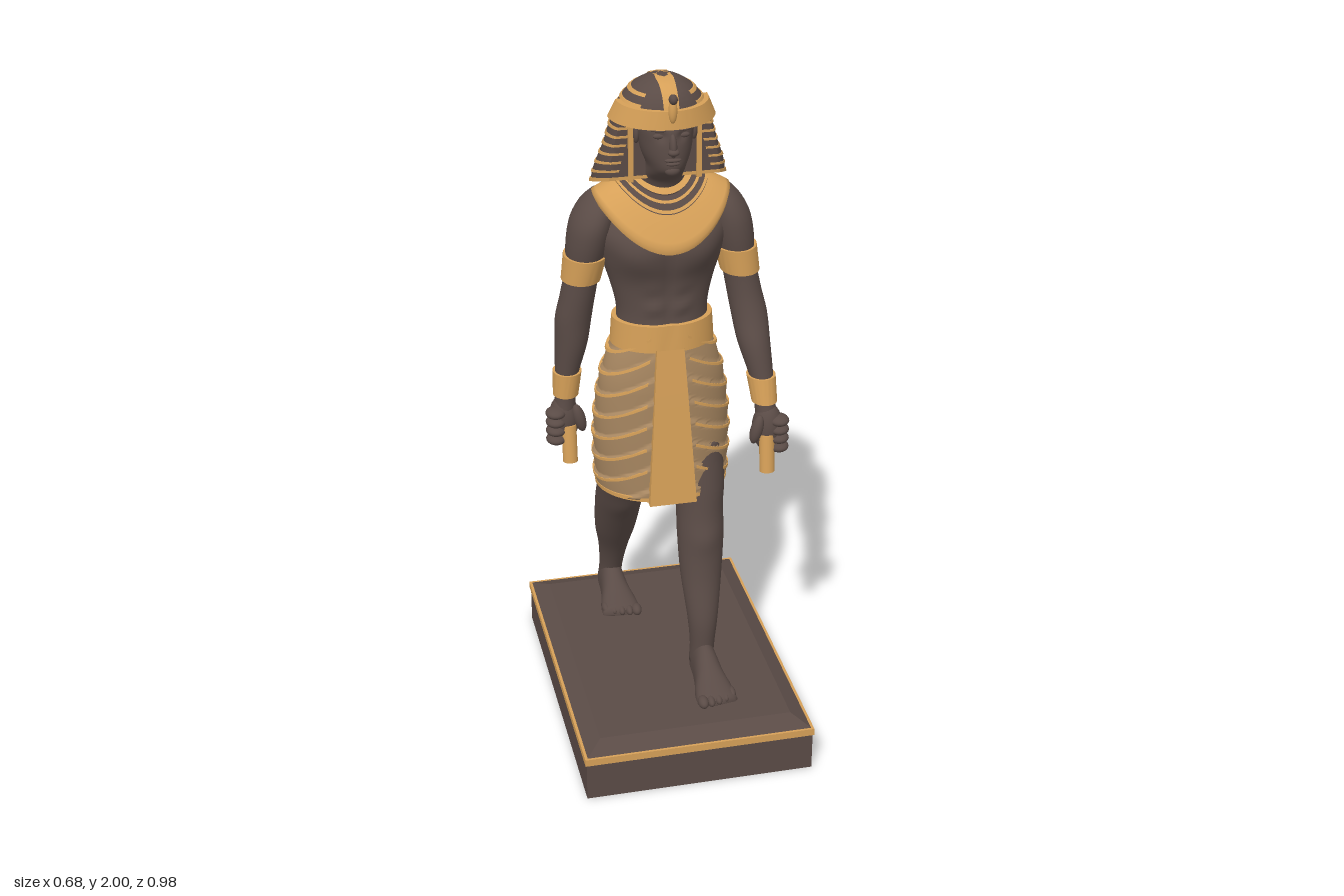
import * as THREE from 'three';
import { mergeVertices, toCreasedNormals } from 'three/addons/utils/BufferGeometryUtils.js';

const PI = Math.PI;
const paint = (name, color) => {
  const m = new THREE.MeshStandardMaterial({ color, side: THREE.DoubleSide });
  m.name = name;
  return m;
};
const stone = paint('dark stone', 0x5a4b46);
const gold = paint('gold', 0xd6a058);
const linen = paint('linen', 0xa98862);

const range = (a, b, n) => Array.from({ length: n + 1 }, (_, i) => a + (b - a) * i / n);
const bump = (x, w) => Math.exp(-(x * x) / (w * w));

// Smoothly interpolates rows of [position, ...values]
function ring(rows, y) {
  let i = 0;
  while (i < rows.length - 2 && y > rows[i + 1][0]) i++;
  const p = rows[i], q = rows[i + 1], o = rows[Math.max(0, i - 1)], r = rows[Math.min(rows.length - 1, i + 2)];
  const h = q[0] - p[0], t = Math.min(1, Math.max(0, (y - p[0]) / h));
  return p.map((pv, k) => {
    if (k === 0) return y;
    const m0 = (q[k] - o[k]) / (q[0] - o[0]) * h, m1 = (r[k] - pv) / (r[0] - p[0]) * h;
    const t2 = t * t, t3 = t2 * t;
    return (2 * t3 - 3 * t2 + 1) * pv + (t3 - 2 * t2 + t) * m0 + (3 * t2 - 2 * t3) * q[k] + (t3 - t2) * m1;
  });
}

// Grid surface over the lists us and vs
function patch(fn, us, vs, crease) {
  const pos = [], idx = [], n = us.length;
  for (const v of vs) for (const u of us) pos.push(...fn(u, v));
  for (let j = 0; j < vs.length - 1; j++) for (let i = 0; i < n - 1; i++) {
    const a = j * n + i, b = a + 1, c = a + n, d = c + 1;
    idx.push(a, b, d, a, d, c);
  }
  let g = new THREE.BufferGeometry();
  g.setAttribute('position', new THREE.Float32BufferAttribute(pos, 3));
  g.setIndex(idx);
  g = mergeVertices(g, 1e-5);
  g.computeVertexNormals();
  return crease ? toCreasedNormals(g, 0.7) : g;
}

// Body surface from rows of [y, cx, cz, rx, rz]; angle 0 is the front
const body = (rows, shape = () => 0) => (a, y, off = 0, k = 1) => {
  const [, cx, cz, rx, rz] = ring(rows, y), o = off + shape(a, y);
  return [cx + k * (rx + o) * Math.sin(a), y, cz + k * (rz + o) * Math.cos(a)];
};
const loft = (P, y0, y1, nv, nu = 40) => patch((a, [y, k]) => P(a, y, 0, k), range(-PI, PI, nu),
  [[y0, 0], ...range(y0, y1, nv).map(y => [y, 1]), [y1, 0]]);
// Raised band lying on a surface, optionally sagging
const band = (P, y0, y1, off, a0 = -PI, a1 = PI, sag = () => 0) => patch((a, [y, o]) => P(a, y + sag(a), o),
  range(a0, a1, 40), [[y0, -0.004], [y0, off], [y1, off], [y1, -0.004]], true);

export function createModel() {
  const model = new THREE.Group();
  model.name = 'striding statue';
  const add = (name, geo, mat, parent = model) => {
    const m = new THREE.Mesh(geo, mat);
    m.name = name;
    parent.add(m);
    return m;
  };
  const blob = (name, x, y, z, rx, ry, rz, mat = stone) => {
    const m = add(name, new THREE.SphereGeometry(1, 20, 14), mat);
    m.position.set(x, y, z);
    m.scale.set(rx, ry, rz);
    return m;
  };
  const box = (name, w, h, d, x, y, z, mat) => {
    const m = add(name, new THREE.BoxGeometry(w, h, d), mat);
    m.position.set(x, y, z);
    return m;
  };

  // Plinth with gold rim and sloping top
  box('plinth', 0.676, 0.12, 0.974, 0, 0.06, 0, stone);
  box('plinthRim', 0.684, 0.022, 0.98, 0, 0.128, 0, gold);
  const top = box('plinthTop', 0.672, 0.024, 0.97, 0, 0.15, 0, stone).geometry;
  const tp = top.attributes.position;
  for (let i = 0; i < tp.count; i++) if (tp.getY(i) > 0) {
    tp.setX(i, tp.getX(i) - Math.sign(tp.getX(i)) * 0.05);
    tp.setZ(i, tp.getZ(i) - Math.sign(tp.getZ(i)) * 0.06);
  }
  top.computeVertexNormals();

  // Torso with chest, belly line and spine
  const torso = body([[1.16, 0, -.03, .14, .1], [1.25, 0, -.03, .135, .1], [1.32, 0, -.03, .132, .095],
    [1.4, 0, -.035, .15, .1], [1.48, 0, -.04, .175, .122], [1.55, 0, -.045, .188, .13], [1.6, 0, -.06, .17, .115],
    [1.65, 0, -.065, .125, .085], [1.69, 0, -.055, .075, .065], [1.73, 0, -.04, .062, .064]],
  (a, y) => 0.014 * bump(Math.abs(a) - 0.5, 0.4) * bump(y - 1.5, 0.05) - 0.007 * bump(a, 0.13)
    - 0.014 * bump(PI - Math.abs(a), 0.22) + 0.004 * bump(Math.abs(a) - 0.3, 0.2) * Math.sin((y - 1.25) * 90) * bump(y - 1.34, 0.06));
  add('torso', loft(torso, 1.16, 1.73, 44, 64), stone);

  // Arms, bands, fists and short rods
  const armShape = [[.97, .285, .035, .04], [1.03, .277, .03, .035], [1.1, .272, .034, .04], [1.2, .257, .047, .057],
    [1.28, .25, .052, .06], [1.35, .238, .05, .06], [1.44, .222, .05, .063], [1.52, .208, .06, .08],
    [1.58, .195, .061, .085], [1.63, .177, .05, .07], [1.66, .165, .03, .04]];
  const armZ = {
    left: [.11, .095, .075, .035, 0, -.02, -.033, -.045, -.055, -.062, -.065],
    right: [-.075, -.075, -.075, -.075, -.07, -.062, -.055, -.053, -.055, -.062, -.065],
  };
  for (const [side, s] of [['left', 1], ['right', -1]]) {
    const arm = body(armShape.map(([y, x, rx, rz], i) => [y, s * x, armZ[side][i], rx, rz]));
    add(side + 'Arm', loft(arm, 0.97, 1.66, 44, 28), stone);
    add(side + 'Armband', band(arm, 1.405, 1.48, 0.007), gold);
    add(side + 'Wristband', band(arm, 1.035, 1.11, 0.007), gold);
    const hz = armZ[side][0], hx = s * 0.283;
    blob(side + 'Hand', hx, 0.955, hz, .045, .075, .045);
    for (let i = 0; i < 4; i++)
      blob(side + 'Finger', hx + s * 0.028, 0.985 - i * 0.028, hz + 0.022, .03, .016, .034);
    blob(side + 'Thumb', hx - s * 0.04, 0.965, hz + 0.03, .018, .045, .02).rotation.z = -s * 0.25;
    const rod = add(side + 'Rod', new THREE.CylinderGeometry(0.022, 0.022, 0.115, 20), gold);
    rod.position.set(s * 0.274, 0.888, hz + 0.034);
    rod.rotation.x = -0.12;
  }

  // Legs, feet and toes
  const legRows = {
    left: [[.18, .088, .122, .036, .045], [.25, .09, .127, .037, .044], [.34, .092, .12, .046, .05], [.47, .096, .078, .062, .064],
      [.6, .1, .05, .07, .076], [.68, .1, .035, .07, .08], [.76, .1, .015, .078, .09], [.9, .09, -.02, .085, .1]],
    right: [[.18, -.09, -.405, .036, .045], [.25, -.088, -.388, .037, .05], [.34, -.088, -.35, .046, .058], [.44, -.092, -.295, .062, .073],
      [.58, -.096, -.215, .071, .09], [.68, -.098, -.15, .073, .09], [.76, -.098, -.1, .08, .095], [.9, -.09, -.05, .085, .1]],
  };
  const footRows = [[0, 0, .015], [.008, .022, .04], [.03, .034, .075], [.06, .038, .1], [.1, .04, .1], [.15, .046, .075],
    [.2, .057, .05], [.24, .06, .034], [.262, .052, .024], [.27, 0, .01]];
  for (const [side, s, heel] of [['left', 1, 0.075], ['right', -1, -0.46]]) {
    add(side + 'Leg', loft(body(legRows[side],
      (a, y) => 0.007 * bump(a, 0.6) * bump(y - 0.6, 0.04)), 0.18, 0.9, 44, 32), stone);
    const cx = s * 0.09;
    add(side + 'Foot', patch((a, t) => {
      const [, w, h] = ring(footRows, t);
      return [cx + w * Math.sin(a), 0.16 + h * Math.pow(Math.max(0, Math.cos(a)), 0.8), heel + t];
    }, range(-PI, PI, 32), range(0.27, 0, 30)), stone);
    for (let i = 0; i < 5; i++)
      blob(side + 'Toe', cx + s * (i * 0.0235 - 0.046), 0.174, heel + 0.26 - i * i * 0.002, i ? .012 : .016, i ? .014 : .017, .026);
  }

  // Pleated kilt
  const kiltRows = [[.74, 0, -.045, .19, .16], [.8, 0, -.045, .195, .155], [.95, 0, -.042, .196, .14],
    [1.1, 0, -.037, .178, .122], [1.23, 0, -.035, .14, .108]];
  const drop = a => -0.1 * Math.sin(Math.abs(a));
  const kilt = body(kiltRows, (a, y) => {
    const p = (y - drop(a)) / 0.068;
    return 0.009 * (p - Math.floor(p)) * Math.min(1, (1.25 - y) * 6);
  });
  add('kilt', loft(kilt, 0.75, 1.23, 90, 72), linen);
  const plainKilt = body(kiltRows);
  for (let i = 0; i < 7; i++) for (const s of [1, -1]) {
    const y = 0.879 + i * 0.068, ends = s > 0 ? [0.36, PI - 0.2] : [-PI + 0.2, -0.36];
    add('pleatEdge', band(plainKilt, y - 0.004, y + 0.004, 0.01, ...ends, drop), gold);
  }
  add('kiltHem', band(plainKilt, 0.745, 0.757, 0.007), gold);
  add('belt', band(torso, 1.21, 1.29, 0.014), gold);
  // Front apron and rear panel as tapering plates
  for (const [name, s, w0, w1, y0] of [['frontApron', 1, .07, .04, .74], ['rearPanel', -1, .045, .03, .735]])
    add(name, patch(([u, o], y) => {
      const [, , cz, , rz] = ring(kiltRows, y), t = (y - y0) / (1.22 - y0);
      return [s * u * (w0 + (w1 - w0) * t), y, cz + s * (rz + o)];
    }, [[-1, -.03], [-1, .014], [1, .014], [1, -.03]], range(y0, 1.22, 16), true), gold);

  // Broad collar in rings, from neck to shoulders
  const collar = (a, [t, lift]) => {
    const c = Math.cos(a), c2 = c * c;
    const yo = 1.668 - (c > 0 ? 0.128 : 0.075) * c2, yi = 1.705 - (c > 0 ? 0.02 : 0) * c2;
    return [(0.068 + 0.127 * t) * Math.sin(a), yi + (yo - yi) * t + 0.012 * Math.sin(PI * t) + lift,
      -0.04 + (0.068 + 0.09 * t) * c];
  };
  const cuts = [0, 0.14, 0.26, 0.32, 0.44, 0.5, 1];
  for (let i = 0; i < 6; i++) {
    const up = i % 2 ? 0 : 0.003;
    const vs = range(cuts[i + 1], cuts[i], 6).map(t => [t, up]);
    if (i === 5) vs.unshift([0.96, -0.025]);
    add('collarRing', patch(collar, range(-PI, PI, 56), vs), i === 5 || i % 2 === 0 ? gold : stone);
  }

  // Head, neck and face
  const head = body([[1.64, 0, -.045, .062, .062], [1.71, 0, -.025, .058, .064], [1.745, 0, .008, .054, .082],
    [1.765, 0, .018, .055, .094], [1.8, 0, .015, .068, .1], [1.84, 0, .008, .076, .104], [1.88, 0, .002, .079, .104],
    [1.92, 0, -.01, .07, .085]], (a, y) => -0.008 * bump(Math.abs(a) - 0.38, 0.2) * bump(y - 1.862, 0.014));
  add('head', loft(head, 1.64, 1.92, 50, 64), stone);
  blob('nose', 0, 1.838, .11, .011, .034, .018).rotation.x = -0.22;
  blob('noseTip', 0, 1.822, .12, .016, .01, .014);
  blob('upperLip', 0, 1.798, .112, .024, .006, .01);
  blob('lowerLip', 0, 1.787, .11, .02, .006, .01);
  blob('chin', 0, 1.765, .1, .022, .016, .018);
  for (const s of [1, -1]) {
    blob('eye', s * .034, 1.861, .09, .017, .008, .009);
    blob('brow', s * .036, 1.878, .09, .023, .005, .012).rotation.y = s * 0.4;
    blob('ear', s * .081, 1.848, .012, .01, .03, .018);
  }

  // Headcloth, flat beside the face and dipping at the back
  const clothRows = [[1.7, 0, -.078, .19, .15], [1.74, 0, -.068, .182, .146], [1.8, 0, -.052, .159, .142], [1.87, 0, -.04, .138, .135],
    [1.92, 0, -.03, .12, .123], [1.96, 0, -.025, .09, .1], [1.985, 0, -.02, .056, .065], [1.996, 0, -.02, .028, .034], [2, 0, -.02, 0, 0]];
  const plainCloth = body(clothRows);
  const cloth = (a, y, off = 0, k = 1) => {
    const p = plainCloth(a, y, off, k);
    if (y < 1.885) p[2] = Math.min(p[2], 0.01 + off);
    p[1] += 0.33 * (p[2] + 0.03) * Math.max(0, Math.min(1, (1.9 - y) / 0.2));
    return p;
  };
  add('headcloth', toCreasedNormals(loft(cloth, 1.7, 2, 60, 72), 0.8), stone);
  for (let i = 0; i < 10; i++) {
    const y = 1.725 + i * 0.026;
    add('clothStripe', band(cloth, y, y + 0.007, 0.003, 0.75, 2 * PI - 0.75), gold);
  }
  add('clothHem', band(cloth, 1.7, 1.71, 0.004), gold);
  for (const s of [1, -1]) box('faceEdge', .014, .165, .014, s * .096, 1.79, .011, gold);
  add('browBand', band(plainCloth, 1.882, 1.932, 0.015, -1.6, 1.6), gold);
  // Centre stripe running over the crown and down the back
  for (const [name, mid, y0] of [['crownStripe', 0, 1.92], ['backStripe', PI, 1.69]])
    add(name, patch(([u, o], y) => {
      const r = ring(clothRows, y)[3], w = mid ? 0.022 + 0.06 * Math.max(0, 1.85 - y) : 0.02;
      return cloth(mid + u * Math.asin(Math.min(1, w / Math.max(r, 1e-4))), y, o);
    }, [[-1, -.004], [-1, .007], [0, .007], [1, .007], [1, -.004]], range(y0, 1.998, 40), true), gold);
  // Small rearing serpent on the brow
  blob('serpentBody', 0, 1.935, .108, .012, .035, .012, gold);
  blob('serpentHead', 0, 1.968, .112, .012, .014, .016, stone);
  return model;
}
